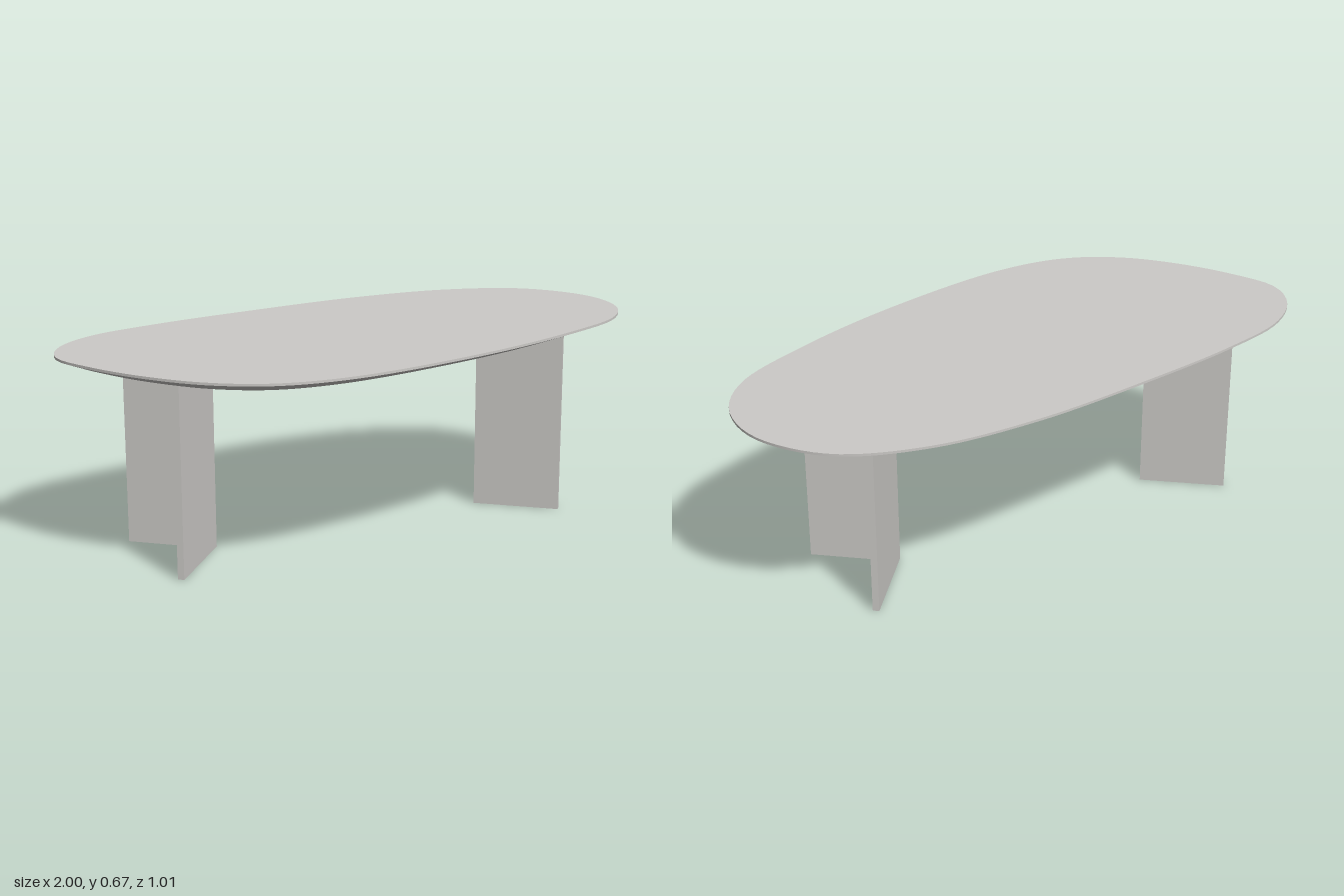
import * as THREE from 'three';
import { toCreasedNormals } from 'three/addons/utils/BufferGeometryUtils.js';

const TOP = 0.665, RIM = 0.657, UNDER = 0.625, INSET = 0.08;

// Pebble outline (x, z), clockwise seen from above
const OUTLINE = [
  [-1, -0.15], [-0.945, -0.28], [-0.8, -0.385], [-0.55, -0.445], [-0.2, -0.485],
  [0.25, -0.51], [0.6, -0.473], [0.85, -0.362], [0.97, -0.2], [1, -0.065],
  [0.965, 0.085], [0.85, 0.215], [0.6, 0.325], [0.2, 0.437], [-0.3, 0.503],
  [-0.55, 0.465], [-0.72, 0.36], [-0.85, 0.205], [-0.95, 0.02],
];

// Tabletop: thin upright rim, wide bevel underneath, flat top and bottom
function tabletopGeometry(segments = 128) {
  const curve = new THREE.CatmullRomCurve3(
    OUTLINE.map(([x, z]) => new THREE.Vector3(x, 0, z)), true, 'centripetal');
  const ring = (y, inset) => Array.from({ length: segments }, (_, i) => {
    const p = curve.getPointAt(i / segments), t = curve.getTangentAt(i / segments);
    return new THREE.Vector3(p.x - t.z * inset, y, p.z + t.x * inset);
  });
  const rings = [ring(UNDER, INSET), ring(RIM, 0), ring(TOP, 0)];
  const bottomCentre = new THREE.Vector3(0, UNDER, 0);
  const topCentre = new THREE.Vector3(0, TOP, 0);

  const points = [];
  for (let i = 0; i < segments; i++) {
    const j = (i + 1) % segments;
    for (let k = 0; k < 2; k++) {
      const low = rings[k], up = rings[k + 1];
      points.push(low[i], up[i], up[j], low[i], up[j], low[j]);
    }
    points.push(topCentre, rings[2][j], rings[2][i]);
    points.push(bottomCentre, rings[0][i], rings[0][j]);
  }
  const geometry = new THREE.BufferGeometry().setFromPoints(points);
  return toCreasedNormals(geometry, 0.3);
}

// Leg: two equal upright boards butted at a right angle, outer corner at the origin
function createLeg(name, material, x, z, turn) {
  const length = 0.295, thick = 0.021;
  const leg = new THREE.Group();
  leg.name = name;
  const board = (boardName, w, d, px, pz) => {
    const mesh = new THREE.Mesh(new THREE.BoxGeometry(w, UNDER, d), material);
    mesh.name = boardName;
    mesh.position.set(px, UNDER / 2, pz);
    leg.add(mesh);
  };
  board('longBoard', length, thick, length / 2, -thick / 2);
  board('buttedBoard', thick, length, thick / 2, -thick - length / 2);
  leg.position.set(x, 0, z);
  leg.rotation.y = turn;
  return leg;
}

export function createModel() {
  const model = new THREE.Group();
  model.name = 'table';
  const stone = new THREE.MeshStandardMaterial({ color: 0xcccac7 });
  stone.name = 'warmGrey';

  const tabletop = new THREE.Mesh(tabletopGeometry(), stone);
  tabletop.name = 'tabletop';
  model.add(tabletop);

  // The two legs are half a turn apart, each opening outwards
  const turn = THREE.MathUtils.degToRad(-43);
  model.add(createLeg('leftLeg', stone, 0.45, -0.016, turn));
  model.add(createLeg('rightLeg', stone, -0.523, -0.046, turn + Math.PI));
  return model;
}
